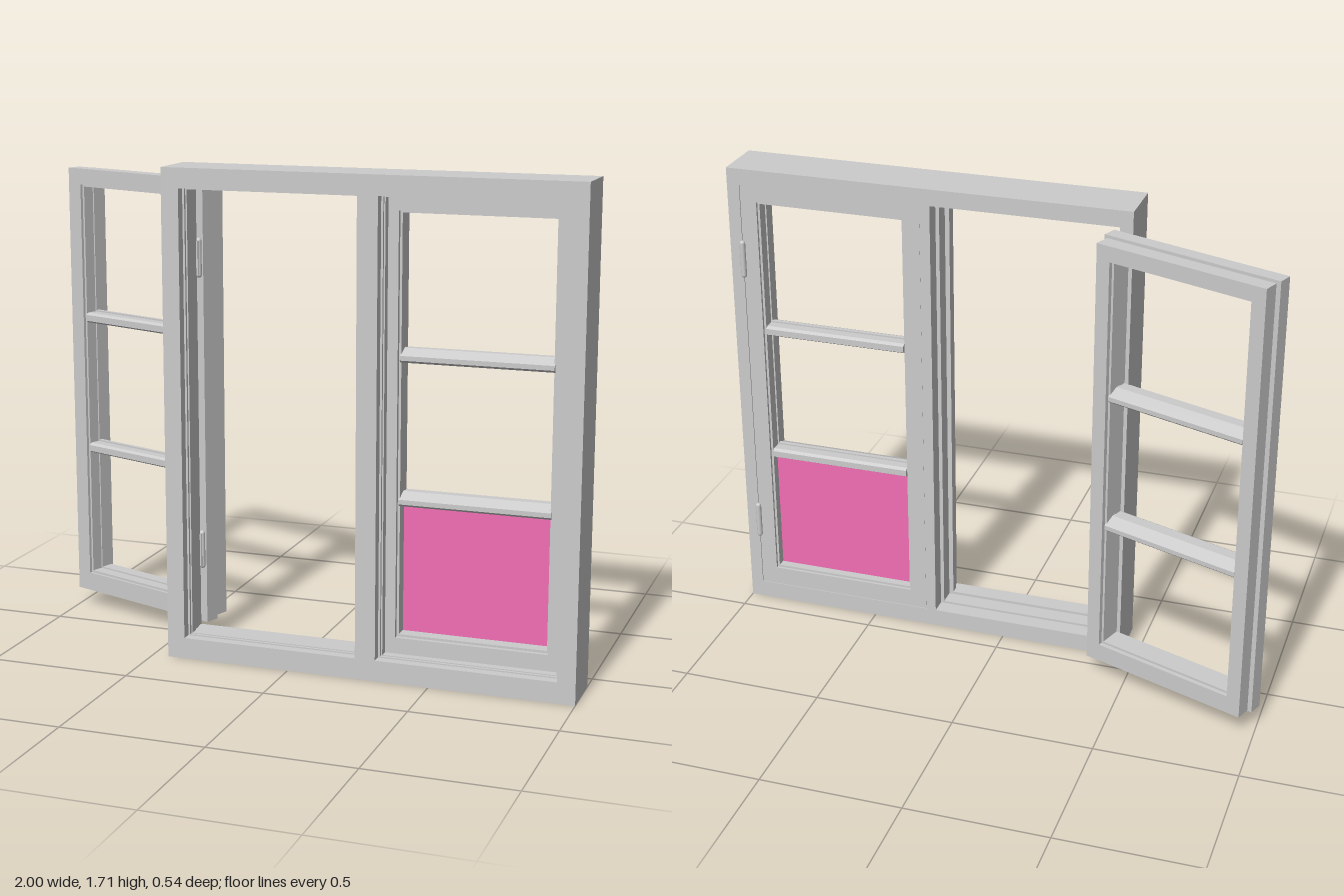
import * as THREE from 'three';

const grey = new THREE.MeshStandardMaterial({ color: 0xcccccc });
const pink = new THREE.MeshStandardMaterial({ color: 0xf36eb5 });

const BOTTOM = 0.064, TOP = 1.646;      // sash height range
const SASH_W = 0.656;                   // sash width over the lip
const LEFT_X = -0.069, RIGHT_X = 0.626; // centres of the two bays

function mesh(name, geometry, material = grey) {
  const m = new THREE.Mesh(geometry, material);
  m.name = name;
  return m;
}

// Trace a rectangle onto a Shape or Path
function rect(path, x0, y0, x1, y1) {
  path.moveTo(x0, y0);
  path.lineTo(x1, y0);
  path.lineTo(x1, y1);
  path.lineTo(x0, y1);
  path.closePath();
  return path;
}

// Slab between z0 and z1 with rectangular holes
function slab(outer, holes, z0, z1) {
  const shape = rect(new THREE.Shape(), ...outer);
  holes.forEach(h => shape.holes.push(rect(new THREE.Path(), ...h)));
  const g = new THREE.ExtrudeGeometry(shape, { depth: z1 - z0, bevelEnabled: false });
  return g.translate(0, 0, z0);
}

// Fixed frame: stacked slabs, each bay opening inset by a different amount from the sash lip
function createFrame() {
  const frame = new THREE.Group();
  frame.name = 'fixedFrame';
  const layers = [
    [0.078, 0.137, -0.001], // rebate for the sash lip
    [0.137, 0.196, 0.012],  // rebate for the sash body
    [0.196, 0.225, 0.028],  // stop
    [0.225, 0.235, 0.023],
    [0.235, 0.27, 0.016],   // front reveal
  ];
  for (const [z0, z1, inset] of layers) {
    const holes = [LEFT_X, RIGHT_X].map(cx => [
      cx - SASH_W / 2 + inset, BOTTOM + inset * 0.6,
      cx + SASH_W / 2 - inset, TOP - inset * 0.6,
    ]);
    frame.add(mesh('frameLayer', slab([-0.443, 0, 1, 1.705], holes, z0, z1)));
  }
  return frame;
}

// Sash centred on x = 0, lip at the back, with two glazing bars
function createSash(name) {
  const sash = new THREE.Group();
  sash.name = name;
  const layers = [ // z0, z1, outer inset, opening growth
    [0.08, 0.09, 0, 0.013],
    [0.09, 0.133, 0, 0.005],
    [0.133, 0.139, 0.022, 0],
    [0.139, 0.18, 0.013, 0],
    [0.18, 0.196, 0.013, 0.008],
  ];
  const w = SASH_W / 2;
  for (const [z0, z1, inset, grow] of layers) {
    sash.add(mesh('sashLayer', slab(
      [-w + inset, BOTTOM + inset * 0.6, w - inset, TOP - inset * 0.6],
      [[-0.256 - grow, 0.145 - grow, 0.256 + grow, 1.576 + grow]], z0, z1)));
  }
  // Glazing bar section as (depth, height), sloped toward the front
  const section = [
    [0.083, -0.012], [0.095, -0.019], [0.13, -0.019], [0.13, -0.022], [0.18, -0.022],
    [0.19, -0.014], [0.19, 0.002], [0.145, 0.022], [0.13, 0.022], [0.13, 0.017],
    [0.095, 0.017], [0.083, 0.01],
  ].map(([z, y]) => new THREE.Vector2(-z, y));
  for (const y of [0.616, 1.104]) {
    const g = new THREE.ExtrudeGeometry(new THREE.Shape(section), { depth: 0.518, bevelEnabled: false });
    g.translate(0, 0, -0.259).rotateY(Math.PI / 2);
    const bar = mesh('glazingBar', g);
    bar.position.y = y;
    sash.add(bar);
  }
  return sash;
}

// Rounded hinge barrels with a short leaf against the frame
function createHinges(x) {
  const hinges = new THREE.Group();
  hinges.name = 'hinges';
  for (const y of [0.338, 1.378]) {
    const barrel = mesh('hingeBarrel', new THREE.CapsuleGeometry(0.01, 0.118, 6, 16));
    barrel.position.set(x, y, 0.067);
    const leaf = mesh('hingeLeaf', new THREE.BoxGeometry(0.006, 0.118, 0.018));
    leaf.position.set(x, y, 0.074);
    hinges.add(barrel, leaf);
  }
  return hinges;
}

export function createModel() {
  const model = new THREE.Group();
  model.name = 'casementWindow';
  model.add(createFrame());

  // Closed sash with a coloured lower panel
  const closed = createSash('closedSash');
  closed.position.x = RIGHT_X;
  const panel = mesh('lowerPanel', new THREE.BoxGeometry(0.52, 0.46, 0.012), pink);
  panel.position.set(0, 0.369, 0.127);
  closed.add(panel);
  model.add(closed);

  // Open sash, swung out about its hinge line
  const pivot = new THREE.Group();
  pivot.name = 'openSashPivot';
  pivot.position.set(-0.393, 0, 0.066);
  const open = createSash('openSash');
  open.position.set(LEFT_X + 0.393, 0, -0.066);
  pivot.add(open);
  pivot.rotation.y = THREE.MathUtils.degToRad(160);
  model.add(pivot);

  model.add(createHinges(-0.395), createHinges(0.95));
  return model;
}
